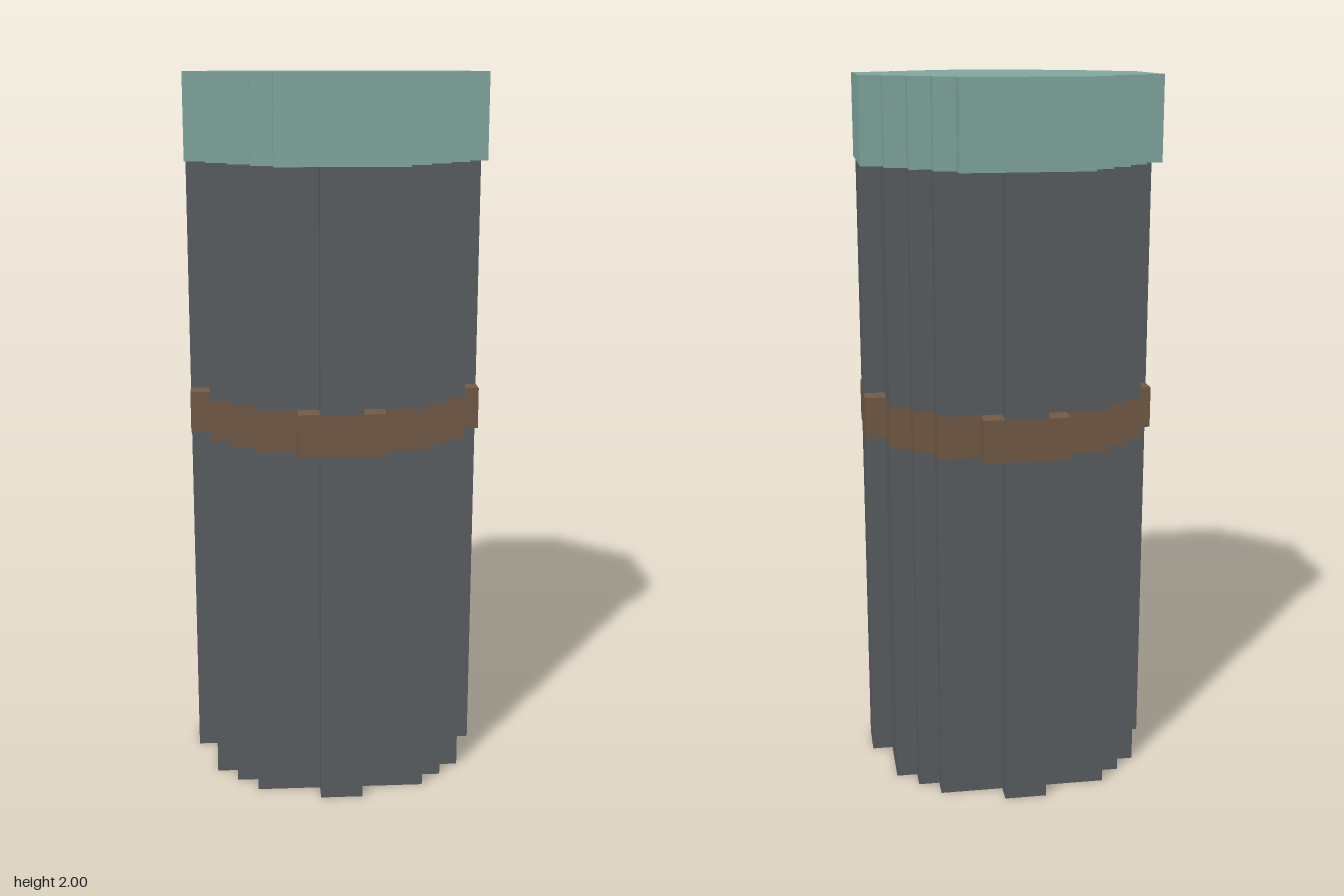
import * as THREE from 'three';

const U = 2 / 34; // one block unit

// Stepped round outline; ridge is the half-width of the outermost step on each side
function steppedOutline(ridge) {
  const quarter = [[7, ridge], [6, ridge], [6, 4], [5, 4], [5, 5], [4, 5], [4, 6], [ridge, 6], [ridge, 7]];
  const points = [];
  for (let side = 0; side < 4; side++) {
    for (const [px, py] of quarter) {
      let x = px, y = py;
      for (let k = 0; k < side; k++) [x, y] = [-y, x];
      points.push(new THREE.Vector2(x * U, y * U));
    }
  }
  return new THREE.Shape(points);
}

// Upright prism between two heights, in block units
function section(name, ridge, bottom, top, material) {
  const geometry = new THREE.ExtrudeGeometry(steppedOutline(ridge), { depth: (top - bottom) * U, bevelEnabled: false });
  geometry.rotateX(-Math.PI / 2);
  geometry.translate(0, bottom * U, 0);
  const mesh = new THREE.Mesh(geometry, material);
  mesh.name = name;
  return mesh;
}

function makeMaterial(name, color) {
  const material = new THREE.MeshStandardMaterial({ color });
  material.name = name;
  return material;
}

export function createModel() {
  const grey = makeMaterial('dark grey', 0x5b5f62);
  const brown = makeMaterial('brown', 0x745b46);
  const green = makeMaterial('pale green', 0x82aaa1);

  const group = new THREE.Group();
  group.name = 'column';
  group.add(
    section('lowerShaft', 1, 0, 17, grey),
    section('band', 2, 17, 19, brown), // wider ridges make the clasps
    section('upperShaft', 1, 19, 30, grey),
    section('cap', 3, 30, 34, green),
  );
  return group;
}
